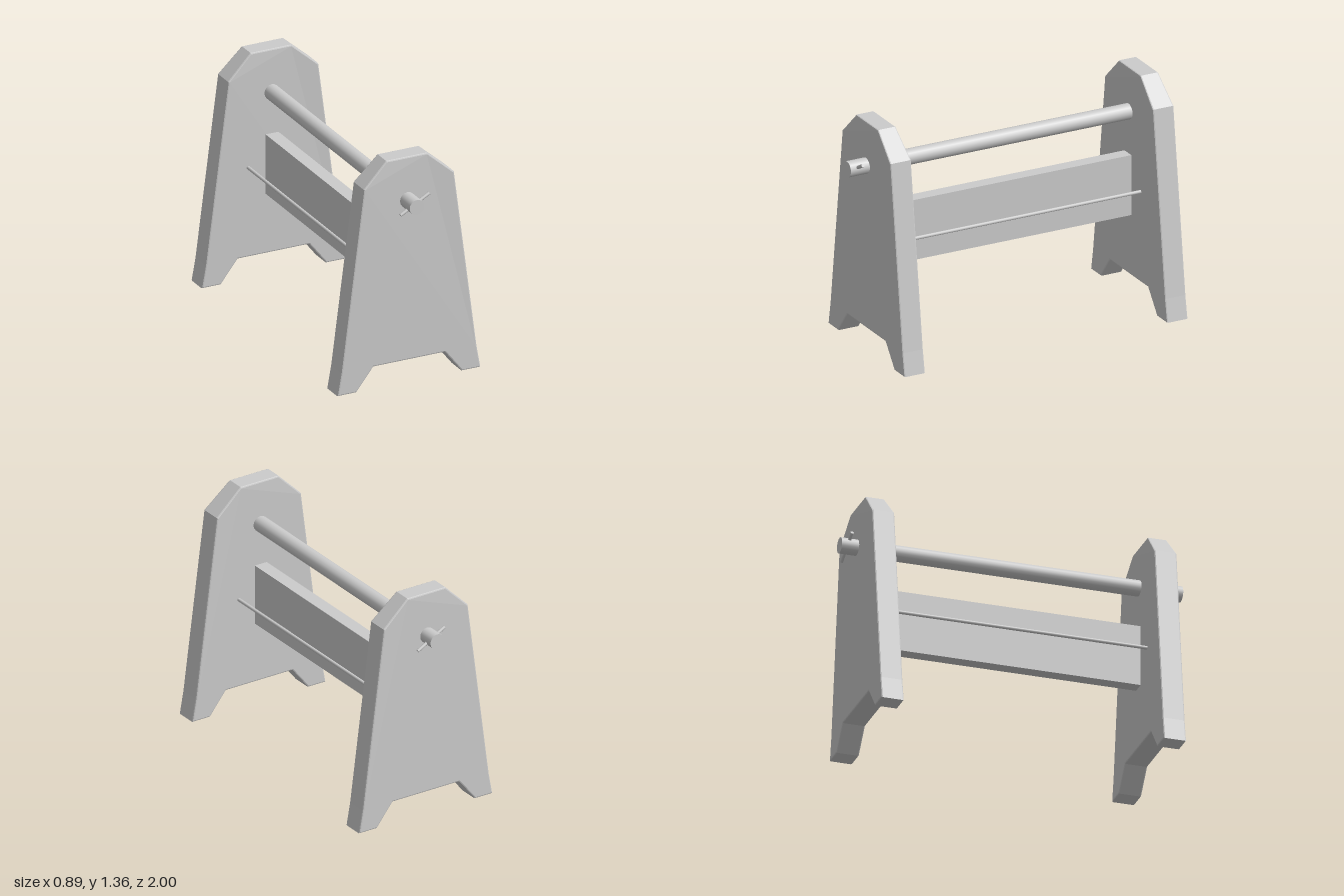
import * as THREE from 'three';

const CX = -0.01; // the rod and board sit a touch off centre
const FRONT = 0.752, BACK = -0.77; // inner faces of the two end panels
const material = new THREE.MeshStandardMaterial({ color: 0xcccccc });
const flat = new THREE.MeshStandardMaterial({ color: 0xcccccc, flatShading: true });

function add(group, name, geometry, mat, x, y, z) {
  const mesh = new THREE.Mesh(geometry, mat);
  mesh.name = name;
  mesh.position.set(x, y, z);
  group.add(mesh);
  return mesh;
}

// Cylinder lying along z between two depths
function bar(group, name, radius, sides, x, y, z0, z1) {
  const geometry = new THREE.CylinderGeometry(radius, radius, z1 - z0, sides);
  geometry.rotateX(Math.PI / 2);
  return add(group, name, geometry, material, x, y, (z0 + z1) / 2);
}

// Tapered end panel with two feet, a clipped top and softened edges
function panelGeometry(depth) {
  const b = 0.008;
  const outline = [
    [-0.446, 0], [-0.328, 0], [-0.222, 0.135], [0.222, 0.135], [0.328, 0], [0.446, 0],
    [0.422, 0.135], [0.281, 1.22], [0.117, 1.363], [-0.137, 1.363], [-0.281, 1.22], [-0.422, 0.135],
  ].map(([x, y]) => new THREE.Vector2(x, y));
  const geometry = new THREE.ExtrudeGeometry(new THREE.Shape(outline), {
    depth: depth - 2 * b, bevelEnabled: true, bevelSize: b, bevelOffset: -b,
    bevelThickness: b, bevelSegments: 2,
  });
  geometry.translate(0, 0, b - depth / 2);
  // The top edge is slightly thinner than the rest
  const p = geometry.attributes.position;
  for (let i = 0; i < p.count; i++) {
    if (p.getY(i) > 1.3) p.setZ(i, p.getZ(i) * 0.86);
  }
  geometry.computeVertexNormals();
  return geometry;
}

export function createModel() {
  const model = new THREE.Group();
  model.name = 'rack';

  // End panels
  const panel = panelGeometry(0.133);
  add(model, 'frontPanel', panel, flat, 0, 0, FRONT + 0.0665);
  add(model, 'backPanel', panel, flat, 0, 0, BACK - 0.0665);

  // Top rod through both panels
  bar(model, 'topRod', 0.046, 16, CX, 1.106, -1, 1);

  // Locking pegs through the rod ends, tilted opposite ways
  for (const [name, z, tilt] of [['frontPeg', 0.953, 1], ['backPeg', -0.953, -1]]) {
    const peg = add(model, name, new THREE.CylinderGeometry(0.01, 0.01, 0.205, 12), material, 0, 1.106, z);
    peg.rotation.z = -Math.PI / 2 + tilt * 0.51;
  }

  // Centre board between the panels
  const length = FRONT - BACK;
  add(model, 'centreBoard', new THREE.BoxGeometry(0.08, 0.36, length), material, CX, 0.677, (FRONT + BACK) / 2);

  // Thin rails on both sides of the board
  for (const [name, side] of [['leftRail', 1], ['rightRail', -1]]) {
    bar(model, name, 0.01, 10, CX + side * 0.148, 0.677, BACK, FRONT);
  }
  return model;
}
